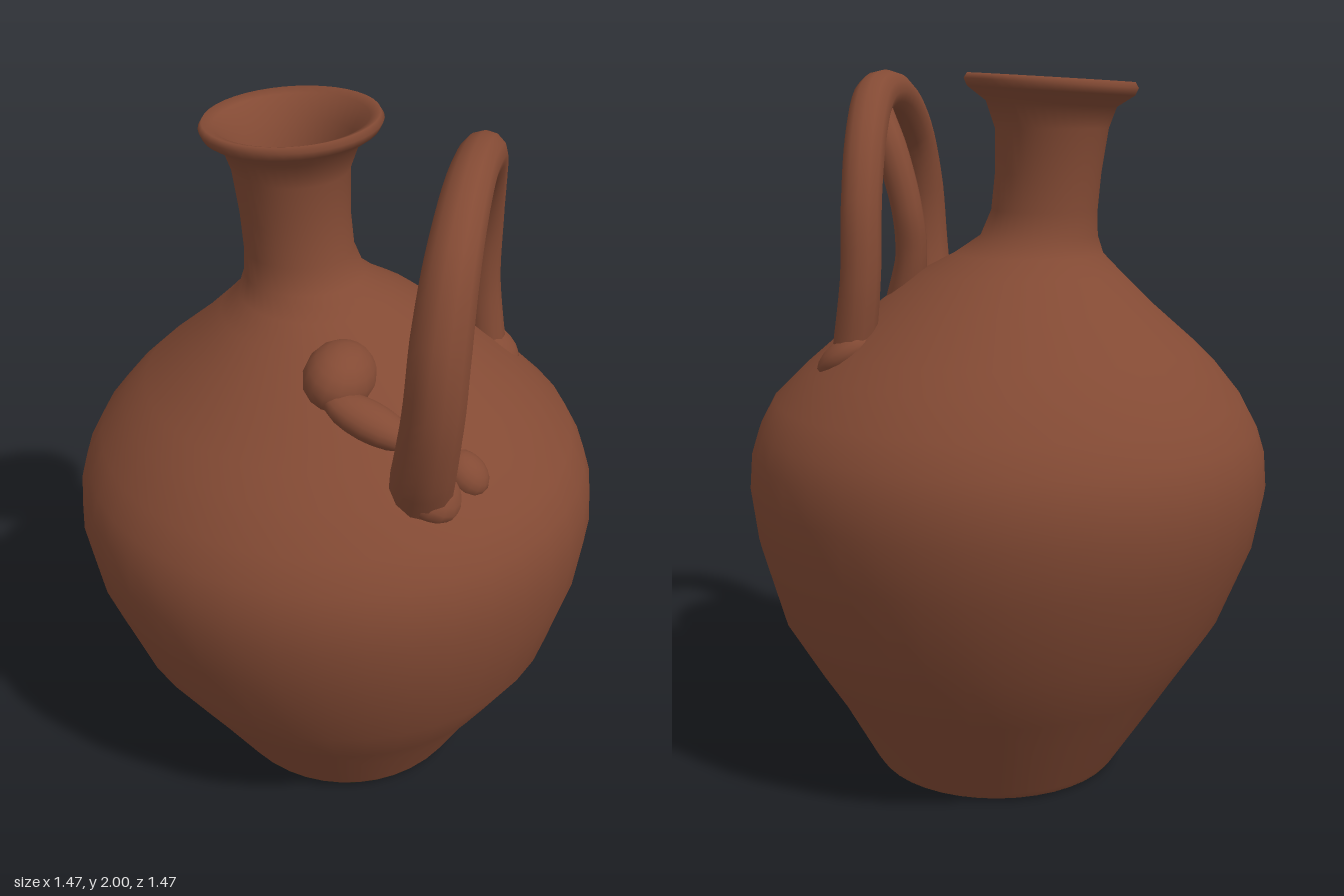
import * as THREE from 'three';

export function createModel() {
  const jug = new THREE.Group();
  jug.name = 'jug';
  const clay = new THREE.MeshStandardMaterial({ color: 0x834a34, side: THREE.DoubleSide });
  clay.name = 'terracotta';
  const dark = new THREE.MeshStandardMaterial({ color: 0x2c2a10, side: THREE.DoubleSide });
  dark.name = 'dark olive';

  const add = (name, geometry, material = clay) => {
    const mesh = new THREE.Mesh(geometry, material);
    mesh.name = name;
    jug.add(mesh);
    return mesh;
  };

  // Turned shape from rows of [radius, height, centre x, rim tilt]
  const turned = (rows, segments = 40) => {
    const geo = new THREE.LatheGeometry(rows.map(([r, y]) => new THREE.Vector2(r, y)), segments);
    const p = geo.attributes.position;
    for (let i = 0; i < p.count; i++) {
      const [, , cx, tilt = 0] = rows[i % rows.length];
      p.setY(i, p.getY(i) + p.getX(i) * tilt);
      p.setX(i, p.getX(i) + cx);
    }
    geo.computeVertexNormals();
    // Share normals across the lathe seam
    const n = geo.attributes.normal, last = segments * rows.length;
    for (let j = 0; j < rows.length; j++) {
      const v = new THREE.Vector3().fromBufferAttribute(n, j)
        .add(new THREE.Vector3().fromBufferAttribute(n, last + j)).normalize();
      n.setXYZ(j, v.x, v.y, v.z);
      n.setXYZ(last + j, v.x, v.y, v.z);
    }
    return geo;
  };

  // Belly, shoulder, off-centre neck, flared lip and the inside of the neck
  add('body', turned([
    [0.35, 0.01, 0.035], [0.365, 0.03, 0.035], [0.466, 0.2, 0.025], [0.53, 0.3, 0.025],
    [0.635, 0.47, 0.02], [0.712, 0.7, 0.005], [0.735, 0.85, 0], [0.727, 0.95, 0],
    [0.705, 1.02, 0], [0.662, 1.1, 0], [0.58, 1.19, -0.01], [0.515, 1.25, -0.015],
    [0.385, 1.36, -0.02], [0.28, 1.45, -0.035], [0.208, 1.5, -0.06], [0.163, 1.55, -0.09],
    [0.147, 1.62, -0.105], [0.146, 1.72, -0.115], [0.155, 1.84, -0.125],
    [0.178, 1.905, -0.123, 0.05], [0.228, 1.94, -0.122, 0.06], [0.237, 1.96, -0.122, 0.06],
    [0.228, 1.975, -0.122, 0.06], [0.2, 1.965, -0.122, 0.06], [0.16, 1.91, -0.122, 0.05],
    [0.128, 1.82, -0.12], [0.118, 1.7, -0.115], [0.113, 1.58, -0.11],
  ]));

  // Dark broken edge where the neck opens into the belly
  add('innerNeckEdge', turned([[0.113, 1.58, -0.11], [0.1, 1.52, -0.105]], 24), dark);

  // Floor inside, dark underside
  const floor = add('innerFloor', new THREE.CircleGeometry(0.36, 32));
  floor.rotation.x = -Math.PI / 2;
  floor.position.set(0.035, 0.04, 0);
  add('underside', turned([[0, 0.003, 0.035], [0.33, 0.003, 0.035], [0.352, 0.012, 0.035]]), dark);

  // Round strand whose thickness follows a list of radii along its length
  const strand = (name, points, radii) => {
    const curve = new THREE.CatmullRomCurve3(points.map((q) => new THREE.Vector3(...q)));
    const rings = 48, sides = 12;
    const geo = new THREE.TubeGeometry(curve, rings, 1, sides);
    const p = geo.attributes.position, v = new THREE.Vector3();
    for (let i = 0; i <= rings; i++) {
      const c = curve.getPointAt(i / rings);
      const f = (i / rings) * (radii.length - 1), k = Math.min(Math.floor(f), radii.length - 2);
      const r = THREE.MathUtils.lerp(radii[k], radii[k + 1], f - k);
      for (let j = 0; j <= sides; j++) {
        const id = i * (sides + 1) + j;
        v.fromBufferAttribute(p, id).sub(c).multiplyScalar(r).add(c);
        p.setXYZ(id, v.x, v.y, v.z);
      }
    }
    return add(name, geo);
  };

  // Basket handle arching from front to back
  strand('handle', [
    [0.37, 1.18, 0.38], [0.395, 1.3, 0.425], [0.42, 1.48, 0.455], [0.425, 1.65, 0.44],
    [0.42, 1.81, 0.365], [0.405, 1.91, 0.23], [0.39, 1.942, 0.1], [0.37, 1.92, -0.06],
    [0.34, 1.81, -0.2], [0.32, 1.65, -0.285], [0.315, 1.45, -0.315], [0.345, 1.2, -0.315],
  ], [0.085, 0.078, 0.075, 0.066, 0.058, 0.058, 0.055, 0.055, 0.06]);

  // Thin inner prop from the arch down to the shoulder
  strand('handleProp', [
    [0.36, 1.88, -0.06], [0.305, 1.78, -0.1], [0.26, 1.62, -0.105],
    [0.255, 1.5, -0.09], [0.28, 1.34, -0.08],
  ], [0.045, 0.045, 0.043, 0.045, 0.06]);

  // Clay pressed onto the shoulder: [name, position, half sizes, tilt about z]
  [
    ['shoulderStub', [0.11, 1.4, 0.26], [0.095, 0.09, 0.12], -0.3],
    ['stubRidge', [0.22, 1.345, 0.35], [0.13, 0.05, 0.06], -0.35],
    ['frontHandleFoot', [0.385, 1.2, 0.37], [0.11, 0.06, 0.1], -0.7],
    ['sideHandleFoot', [0.46, 1.2, 0.28], [0.07, 0.05, 0.06], -0.7],
    ['backHandleFoot', [0.355, 1.24, -0.31], [0.1, 0.05, 0.09], -0.6],
  ].forEach(([name, position, size, tilt]) => {
    const lump = add(name, new THREE.SphereGeometry(1, 16, 10));
    lump.position.set(...position);
    lump.scale.set(...size);
    lump.rotation.z = tilt;
  });

  return jug;
}
